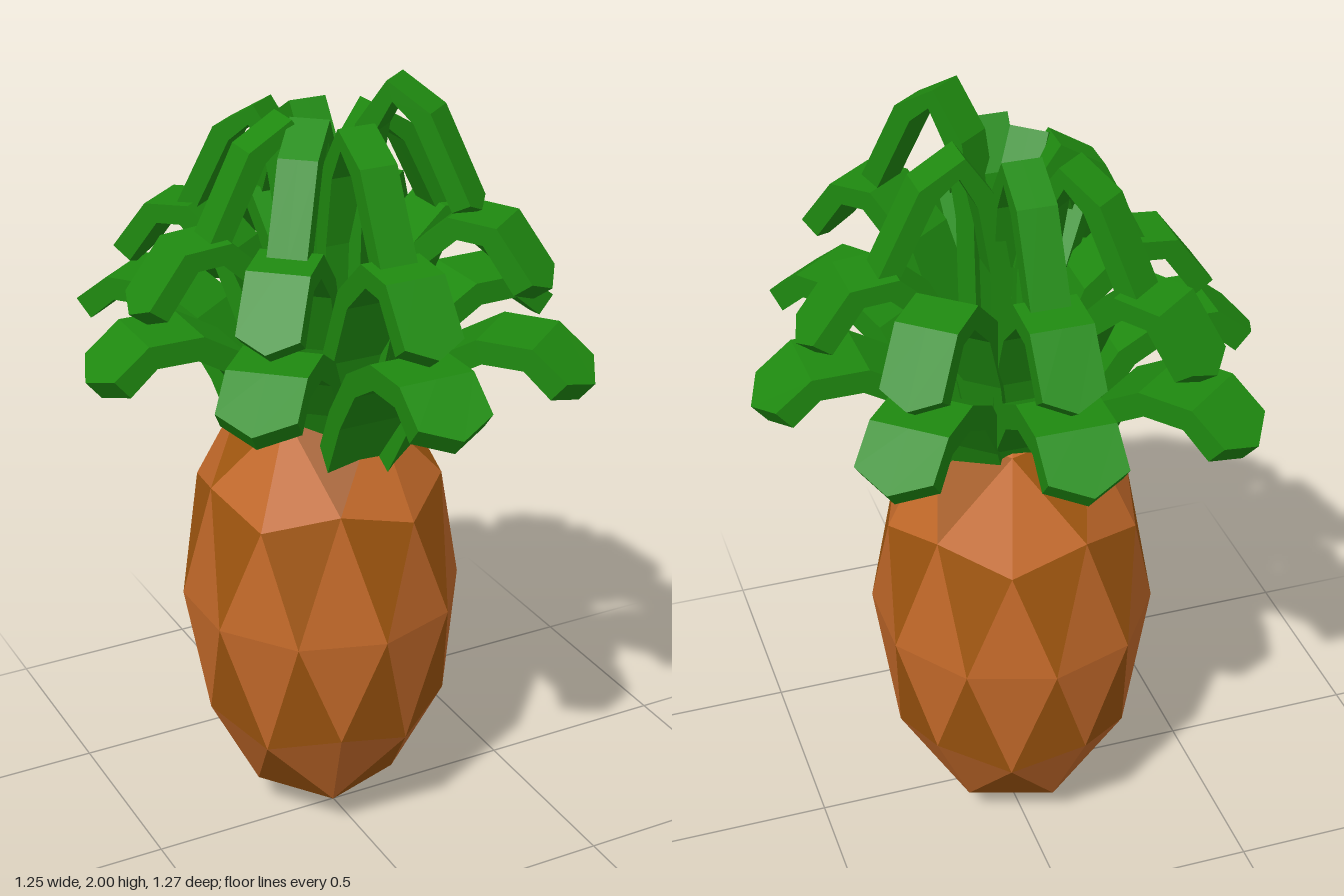
import * as THREE from 'three';

const mat = (color) => new THREE.MeshStandardMaterial({ color, flatShading: true });

// One arching leaf: a box bent along a [radius, height] path, with a pointed end
function leafGeometry(path, width, thick) {
  const n = path.length - 1;
  const geo = new THREE.BoxGeometry(width, thick, 1, 2, 1, n);
  const pts = path.map(([r, y]) => new THREE.Vector2(r, y));
  const pos = geo.attributes.position;
  for (let i = 0; i < pos.count; i++) {
    const k = Math.round((pos.getZ(i) + 0.5) * n);
    const t = pts[Math.min(k + 1, n)].clone().sub(pts[Math.max(k - 1, 0)]).normalize();
    const p = pts[k].clone();
    if (k === n && Math.abs(pos.getX(i)) < 1e-6) p.addScaledVector(t, width * 0.25);
    const h = pos.getY(i);
    pos.setXYZ(i, pos.getX(i), p.y + t.x * h, p.x - t.y * h);
  }
  const flat = geo.toNonIndexed();
  flat.computeVertexNormals();
  return flat;
}

// Faceted fruit: subdivided icosahedron standing on a vertex, split in two tones
function fruitBody() {
  const body = new THREE.Group();
  body.name = 'fruitBody';
  const ico = new THREE.IcosahedronGeometry(1, 1);
  ico.rotateX(-Math.atan2((1 + Math.sqrt(5)) / 2, 1));
  ico.rotateY(Math.PI / 2);
  const p = ico.attributes.position;
  const light = [], dark = [];
  for (let i = 0; i < p.count; i += 3) {
    const [a, b, c] = [0, 1, 2].map((j) => Math.abs(p.getY(i + j))).sort((u, v) => u - v);
    const list = b - a < c - b ? light : dark;
    for (let j = i; j < i + 3; j++) list.push(p.getX(j), p.getY(j), p.getZ(j));
  }
  for (const [name, list, color] of [['lightRind', light, 0xc46a2a], ['darkRind', dark, 0xa0560f]]) {
    const geo = new THREE.BufferGeometry();
    geo.setAttribute('position', new THREE.Float32BufferAttribute(list, 3));
    geo.scale(0.355, 0.64, 0.355);
    geo.translate(-0.007, 0.64, -0.053);
    geo.computeVertexNormals();
    const mesh = new THREE.Mesh(geo, mat(color));
    mesh.name = name;
    body.add(mesh);
  }
  return body;
}

export function createModel() {
  const model = new THREE.Group();
  model.name = 'pineapple';
  model.add(fruitBody());

  // Three tiers of leaves, lowest and widest first
  const tiers = [
    { name: 'lowerLeaf', width: 0.19, thick: 0.06, lift: 0,
      path: [[0.13, 1.06], [0.2, 1.22], [0.28, 1.34], [0.38, 1.4], [0.5, 1.4], [0.578, 1.335]] },
    { name: 'middleLeaf', width: 0.15, thick: 0.055, lift: 0.07,
      path: [[0.08, 1.1], [0.13, 1.35], [0.2, 1.52], [0.3, 1.612], [0.39, 1.605], [0.475, 1.49]] },
    { name: 'upperLeaf', width: 0.095, thick: 0.05, lift: 0.1,
      path: [[0.03, 1.15], [0.04, 1.6], [0.07, 1.78], [0.13, 1.875], [0.21, 1.82], [0.31, 1.62]] },
  ];
  // Heading in degrees from the front, then the root position x, z
  const spots = [
    [0, -0.005, 0], [38.5, 0.025, 0.01], [91, -0.01, -0.03], [140, 0.015, 0],
    [180, -0.005, 0], [218.5, -0.03, -0.06], [269, 0.01, -0.03], [318.5, 0.01, -0.07],
  ];
  const green = mat(0x1f8a10);
  const crown = new THREE.Group();
  crown.name = 'leafCrown';
  for (const tier of tiers) {
    const geo = leafGeometry(tier.path, tier.width, tier.thick);
    spots.forEach(([deg, x, z], i) => {
      // The top tier leaves a gap at the back
      if (tier.name === 'upperLeaf' && i === 3) return;
      const leaf = new THREE.Mesh(geo, green);
      leaf.name = tier.name;
      leaf.rotation.y = THREE.MathUtils.degToRad(deg);
      // One side of the crown stands a little taller
      leaf.position.set(x, i === 1 ? tier.lift : 0, z);
      crown.add(leaf);
    });
  }
  model.add(crown);
  return model;
}
